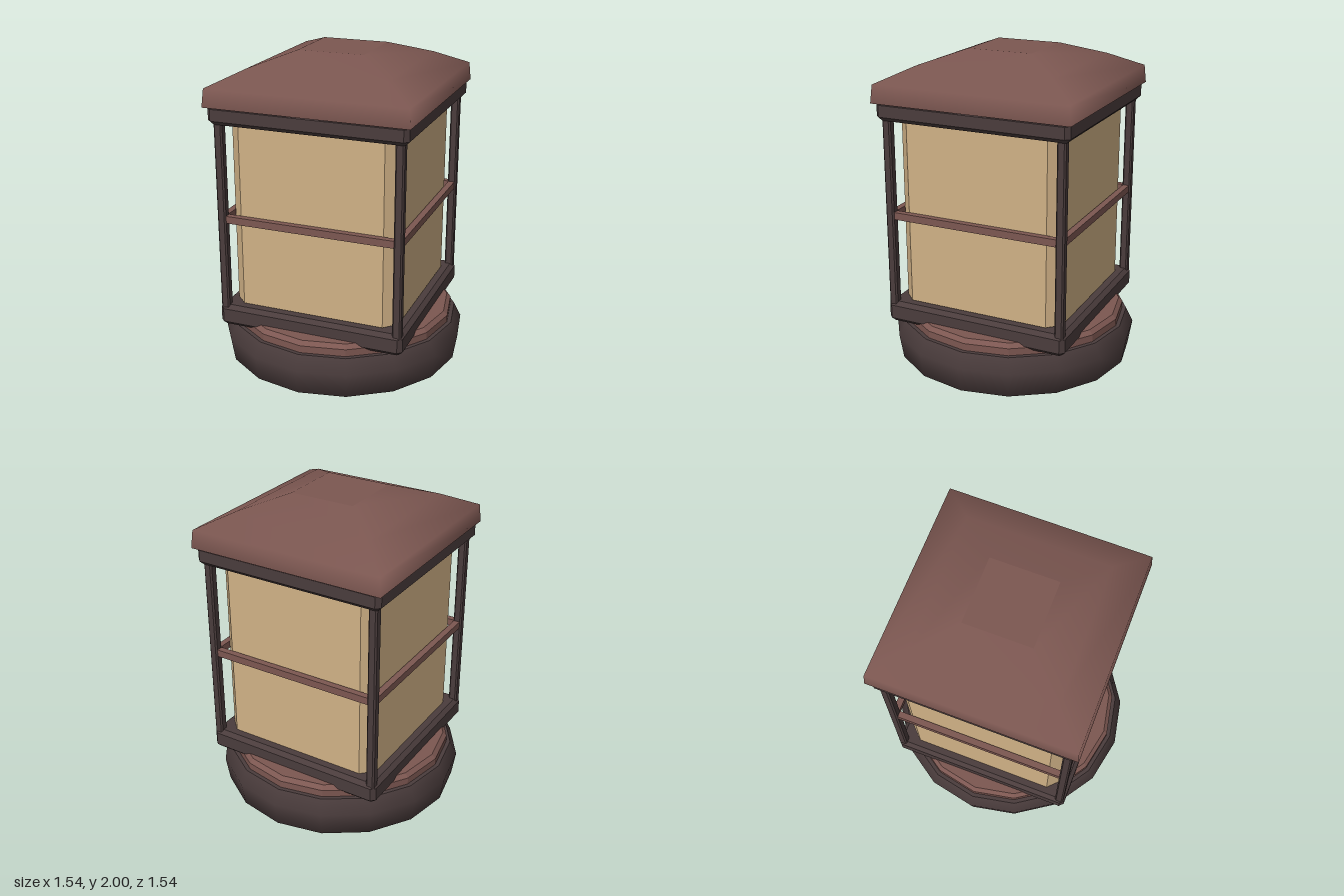
import * as THREE from 'three';

function material(name, color) {
  const m = new THREE.MeshStandardMaterial({ color });
  m.name = name;
  return m;
}

// Upright square prism with chamfered corners and bevelled ends, from y0 to y1.
function prism(half, y0, y1, chamfer, bevel = 0) {
  const h = half - bevel;
  const c = h - chamfer;
  const shape = new THREE.Shape(
    [[h, -c], [h, c], [c, h], [-c, h], [-h, c], [-h, -c], [-c, -h], [c, -h]]
      .map(([x, y]) => new THREE.Vector2(x, y)));
  const geo = new THREE.ExtrudeGeometry(shape, {
    depth: y1 - y0 - 2 * bevel, bevelEnabled: bevel > 0,
    bevelSize: bevel, bevelThickness: bevel, bevelSegments: 1,
  });
  return geo.rotateX(-Math.PI / 2).translate(0, y0 + bevel, 0);
}

// Smooth turned surface; profile runs from bottom to top as [radius, y].
function turned(profile, sides, start = 0) {
  return new THREE.LatheGeometry(profile.map(([r, y]) => new THREE.Vector2(r, y)), sides, start);
}

function faceted(geo) {
  const g = geo.toNonIndexed();
  g.computeVertexNormals();
  return g;
}

export function createModel() {
  const model = new THREE.Group();
  model.name = 'lantern';
  const darkWood = material('dark wood', 0x4a3c3c);
  const redWood = material('red brown wood', 0x7c5751);
  const paper = material('tan paper', 0xd0b186);

  const add = (name, geo, mat, parent = model) => {
    const mesh = new THREE.Mesh(geo, mat);
    mesh.name = name;
    parent.add(mesh);
    return mesh;
  };

  // Round foot with flat top and underside
  const foot = new THREE.Group();
  foot.name = 'foot';
  model.add(foot);
  add('footSide', turned([[0.63, 0], [0.745, 0.055], [0.77, 0.21], [0.725, 0.3]], 16), darkWood, foot);
  add('footTop', faceted(turned([[0.725, 0.3], [0, 0.3]], 16)), darkWood, foot);
  add('footUnderside', faceted(turned([[0, 0], [0.63, 0]], 16)), darkWood, foot);

  // Raised disc on the foot
  add('footDisc', faceted(turned([[0.7, 0.29], [0.7, 0.345], [0.675, 0.37], [0, 0.37]], 16)), redWood);

  // Lower and upper square frames
  add('lowerFrame', prism(0.59, 0.325, 0.46, 0.012, 0.025), darkWood);
  add('upperFrame', prism(0.61, 1.61, 1.73, 0.012, 0.025), darkWood);

  // Paper shade with cut corners
  add('paperShade', prism(0.525, 0.465, 1.605, 0.075), paper);

  // One corner post and one crossbar per side
  const postGeo = prism(0.027, 0.43, 1.64, 0.009);
  const barGeo = new THREE.BoxGeometry(1.07, 0.045, 0.04);
  for (let i = 0; i < 4; i++) {
    const side = new THREE.Group();
    side.name = 'side' + (i + 1);
    side.rotation.y = i * Math.PI / 2;
    model.add(side);
    add('cornerPost', postGeo, darkWood, side).position.set(0.554, 0, 0.554);
    add('crossbar', barGeo, redWood, side).position.set(0, 1.022, 0.552);
  }

  // Softly shaded hipped roof: four-sided, half widths scaled to corner radii
  const roof = new THREE.Group();
  roof.name = 'roof';
  model.add(roof);
  const square = (profile) =>
    turned(profile.map(([h, y]) => [h * Math.SQRT2, y]), 4, Math.PI / 4);
  add('roofSlopes', square([[0.625, 1.715], [0.615, 1.825], [0.43, 1.917], [0.205, 2]]), redWood, roof);
  add('roofTop', faceted(square([[0.205, 2], [0, 2]])), redWood, roof);
  add('roofUnderside', faceted(square([[0, 1.715], [0.625, 1.715]])), redWood, roof);

  return model;
}
